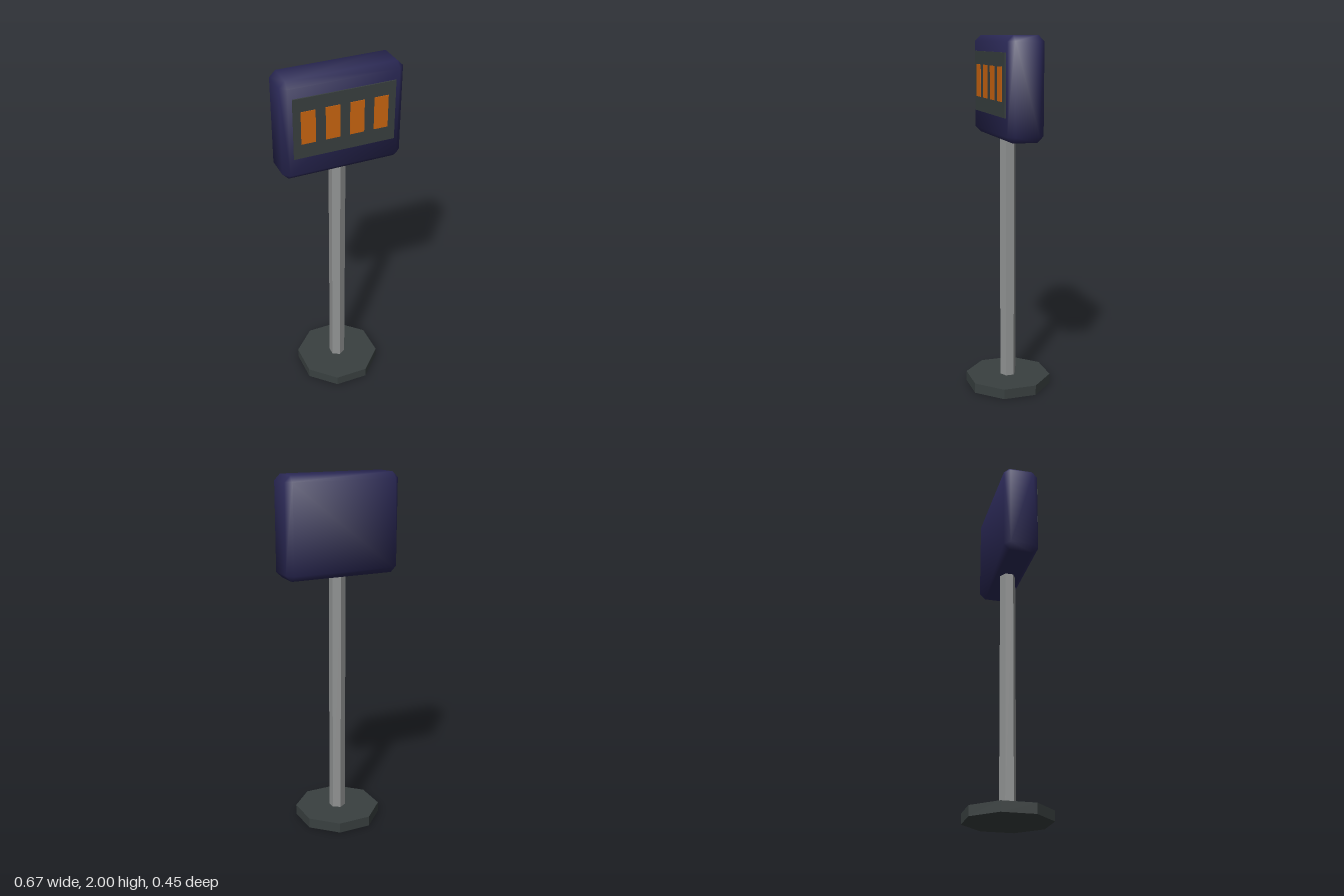
import * as THREE from 'three';
import { ConvexGeometry } from 'three/addons/geometries/ConvexGeometry.js';

const material = (name, color, flatShading = false) =>
  Object.assign(new THREE.MeshStandardMaterial({ color, flatShading }), { name });

// Box with a single 45 degree bevel on every edge and softened normals
function bevelledBox(w, h, d, bevel) {
  const half = [w / 2, h / 2, d / 2];
  const points = [];
  for (let axis = 0; axis < 3; axis++)
    for (const sx of [-1, 1]) for (const sy of [-1, 1]) for (const sz of [-1, 1]) {
      const c = [sx, sy, sz].map((s, i) => s * (half[i] - (i === axis ? 0 : bevel)));
      points.push(new THREE.Vector3(...c));
    }
  const geometry = new ConvexGeometry(points);
  const p = geometry.attributes.position, normals = geometry.attributes.normal;
  const n = new THREE.Vector3();
  for (let i = 0; i < p.count; i++) {
    // Each corner leans mostly along the axis on which it reaches the full size
    const c = [p.getX(i), p.getY(i), p.getZ(i)];
    n.set(...c.map((v, k) => Math.sign(v) * (Math.abs(v) > half[k] - bevel / 2 ? 1 : 0.39))).normalize();
    normals.setXYZ(i, n.x, n.y, n.z);
  }
  return geometry;
}

export function createModel() {
  const group = new THREE.Group();
  group.name = 'displayPost';
  const dark = material('darkGrey', 0x394040, true);
  const steel = material('steelGrey', 0x909292, true);
  const navy = material('navy', 0x2a2855);
  const orange = material('orange', 0xcc6611);

  const add = (name, geometry, mat, x, y, z) => {
    const mesh = new THREE.Mesh(geometry, mat);
    mesh.name = name;
    mesh.position.set(x, y, z);
    group.add(mesh);
    return mesh;
  };

  // Octagonal foot with flat sides facing the axes
  add('base', new THREE.CylinderGeometry(0.245, 0.245, 0.057, 8), dark, 0, 0.0285, 0).rotation.y = Math.PI / 8;

  // Hexagonal pole
  add('pole', new THREE.CylinderGeometry(0.046, 0.046, 1.46, 6), steel, 0, 0.77, 0);

  // Bevelled housing
  add('housing', bevelledBox(0.666, 0.55, 0.2, 0.033), navy, 0, 1.725, 0);

  // Screen and its four lit segments
  add('screen', new THREE.BoxGeometry(0.558, 0.333, 0.009), dark, 0, 1.746, 0.1025);
  for (let i = 0; i < 4; i++)
    add('segment' + (i + 1), new THREE.BoxGeometry(0.078, 0.18, 0.005), orange, -0.2 + i * 0.1327, 1.75, 0.108);

  return group;
}
